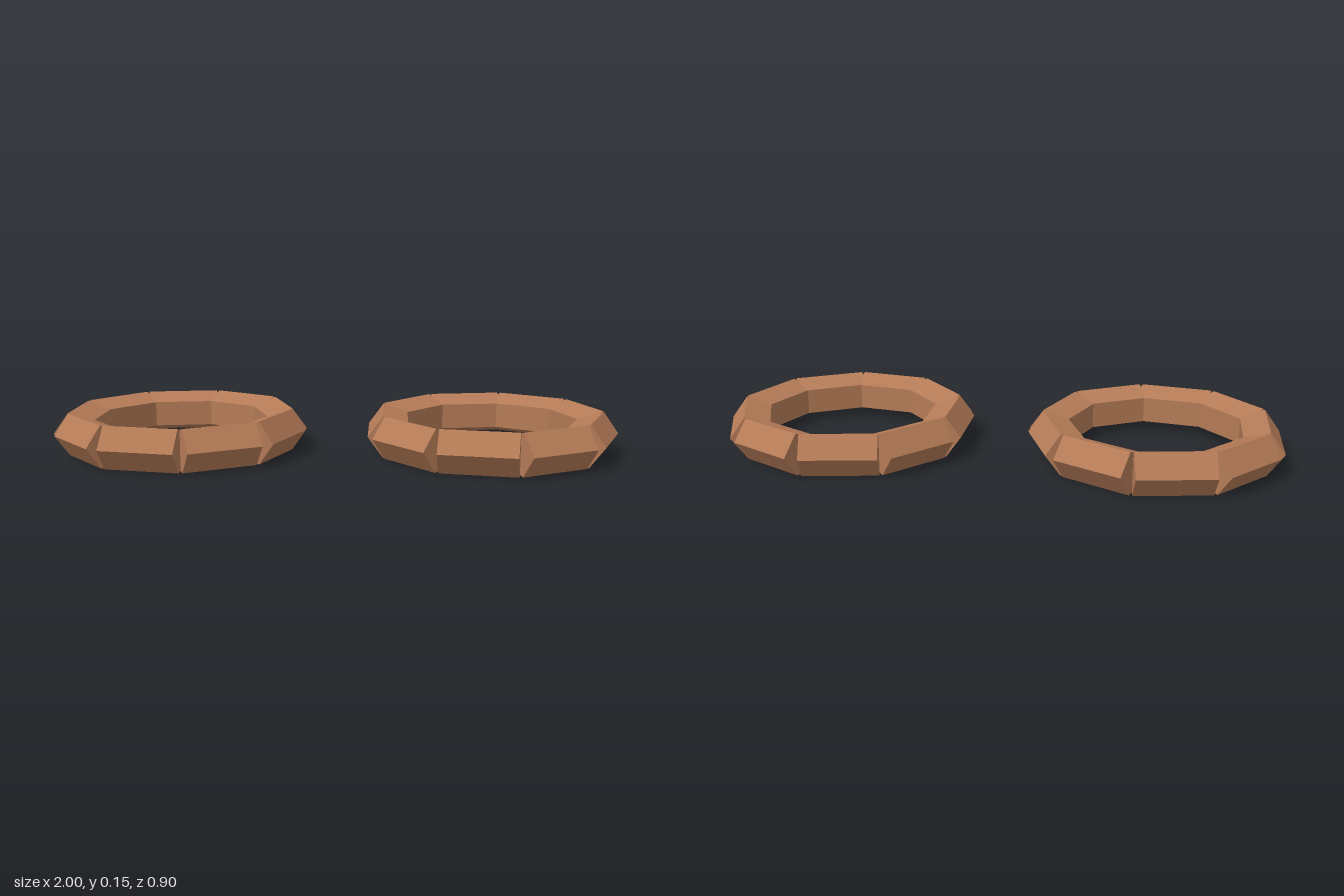
import * as THREE from 'three';

const SEGMENTS = 9;        // straight prisms per ring
const OUTER = 0.434;       // ring centre to outer ridge
const TUBE = 0.0783;       // circumradius of the pentagonal section
const LENGTH = 0.264;      // length of each prism

export function createModel() {
  const model = new THREE.Group();
  model.name = 'segmentedRings';

  const brown = new THREE.MeshStandardMaterial({ color: 0xb57b57 });
  brown.name = 'clay brown';
  brown.flatShading = true;

  // Pentagonal prism lying along z, one ridge pointing outward (+x)
  const prism = new THREE.CylinderGeometry(TUBE, TUBE, LENGTH, 5);
  prism.rotateX(Math.PI / 2);
  prism.rotateZ(Math.PI / 2);
  prism.translate(OUTER - TUBE, TUBE * Math.sin(Math.PI * 0.4), 0);

  // A ring of separate prisms with small gaps on the outside
  function makeRing(name, x) {
    const ring = new THREE.Group();
    ring.name = name;
    ring.position.x = x;
    for (let i = 0; i < SEGMENTS; i++) {
      const segment = new THREE.Mesh(prism, brown);
      segment.name = `ringSegment${i + 1}`;
      segment.rotation.y = ((i + 0.5) / SEGMENTS) * Math.PI * 2;
      ring.add(segment);
    }
    return ring;
  }

  model.add(makeRing('rightRing', -0.566), makeRing('leftRing', 0.546));
  return model;
}
